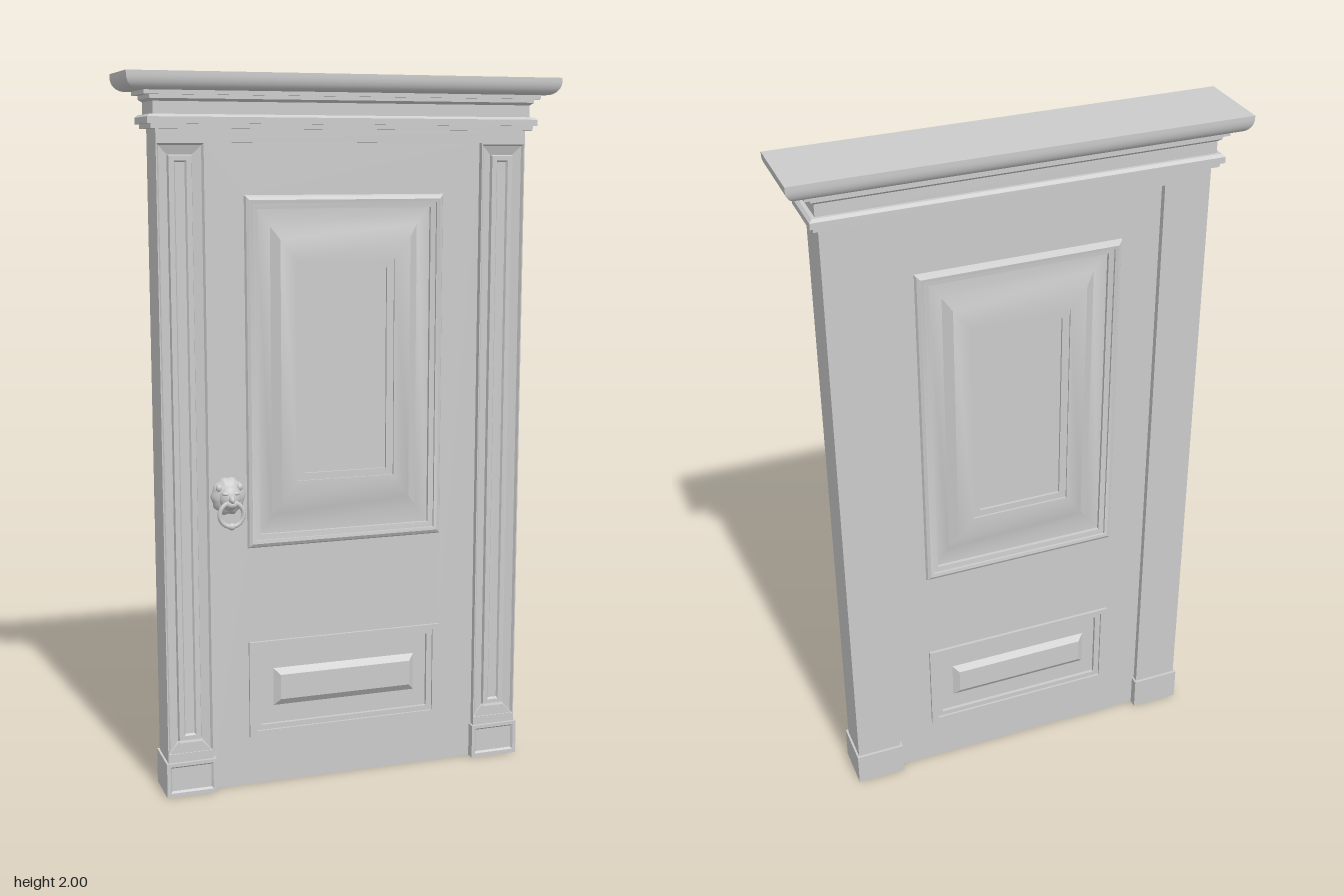
import * as THREE from 'three';
import { toCreasedNormals } from 'three/addons/utils/BufferGeometryUtils.js';

const material = new THREE.MeshStandardMaterial({ color: 0xcccccc });

function add(parent, name, geometry, x = 0, y = 0, z = 0) {
  const mesh = new THREE.Mesh(geometry, material);
  mesh.name = name;
  mesh.position.set(x, y, z);
  parent.add(mesh);
  return mesh;
}

// Joins rectangular rings [x0, x1, y0, y1, z] into one stepped or bevelled solid.
function loft(rings, backCap = true, crease = 0.1) {
  const loops = rings.map(([x0, x1, y0, y1, z]) => [
    [x0, y0, z], [x1, y0, z], [x1, y1, z], [x0, y1, z],
  ]);
  const out = [];
  const quad = (a, b, c, d) => out.push(...a, ...b, ...c, ...a, ...c, ...d);
  for (let i = 0; i + 1 < loops.length; i++) {
    for (let k = 0; k < 4; k++) {
      const n = (k + 1) % 4;
      quad(loops[i][k], loops[i][n], loops[i + 1][n], loops[i + 1][k]);
    }
  }
  quad(...loops[loops.length - 1]);
  if (backCap) quad(...[...loops[0]].reverse());
  const geometry = new THREE.BufferGeometry();
  geometry.setAttribute('position', new THREE.Float32BufferAttribute(out, 3));
  return toCreasedNormals(geometry, crease);
}

const DOOR_Z = 0.04; // half thickness of the door leaf
const JAMB_Z = 0.058; // half depth of the frame

// Panel profiles: [half width, bottom, top, height above the leaf]
const upperPanel = [
  [0.29, 0.70, 1.68, 0], [0.286, 0.704, 1.676, 0.008], [0.277, 0.713, 1.667, 0.013],
  [0.268, 0.722, 1.658, 0.011], [0.268, 0.722, 1.658, 0.004], [0.253, 0.737, 1.643, 0.002],
  [0.253, 0.737, 1.643, -0.008], [0.215, 0.79, 1.595, -0.008], [0.19, 0.82, 1.56, 0.008],
  [0.143, 0.885, 1.50, 0.008], [0.143, 0.885, 1.50, 0.003], [0.122, 0.905, 1.477, 0.003],
  [0.122, 0.905, 1.477, -0.004],
];
const lowerPanel = [
  [0.29, 0.143, 0.425, 0], [0.29, 0.143, 0.425, 0.008], [0.27, 0.16, 0.41, 0.008],
  [0.27, 0.16, 0.41, 0.002], [0.253, 0.175, 0.397, 0.002], [0.253, 0.175, 0.397, -0.008],
  [0.215, 0.227, 0.338, -0.008], [0.197, 0.247, 0.32, 0.006],
];

function buildDoor() {
  const door = new THREE.Group();
  door.name = 'door';
  const rectangle = (Type, w, y0, y1) => new Type([
    new THREE.Vector2(-w, y0), new THREE.Vector2(w, y0),
    new THREE.Vector2(w, y1), new THREE.Vector2(-w, y1),
  ]);
  const leaf = rectangle(THREE.Shape, 0.405, 0, 1.825);
  for (const [w, y0, y1] of [upperPanel[0], lowerPanel[0]]) {
    leaf.holes.push(rectangle(THREE.Path, w, y0, y1));
  }
  add(door, 'doorLeaf', new THREE.ExtrudeGeometry(leaf, { depth: DOOR_Z * 2, bevelEnabled: false }), 0, 0, -DOOR_Z);

  // Same panels on both faces
  for (const [name, profile] of [['upperPanel', upperPanel], ['lowerPanel', lowerPanel]]) {
    for (const side of ['Front', 'Back']) {
      const rings = profile.map(([w, y0, y1, h]) => [-w, w, y0, y1, DOOR_Z + h]);
      const panel = add(door, name + side, loft(rings, false, 0.5));
      if (side === 'Back') panel.rotation.y = Math.PI;
    }
  }
  return door;
}

function buildPilaster(side) {
  const pilaster = new THREE.Group();
  pilaster.name = side > 0 ? 'leftPilaster' : 'rightPilaster';
  // Shaft with a mitred sunk moulding and a narrow raised strip
  const shaft = [
    [0.066, 0.09, 1.825, -JAMB_Z], [0.066, 0.09, 1.825, JAMB_Z], [0.063, 0.125, 1.817, JAMB_Z],
    [0.058, 0.13, 1.812, 0.05], [0.034, 0.158, 1.788, 0.042], [0.031, 0.161, 1.785, 0.052],
    [0.017, 0.173, 1.772, 0.052], [0.013, 0.178, 1.768, 0.046],
  ].map(([w, y0, y1, z]) => [-w, w, y0, y1, z]);
  add(pilaster, 'shaft', loft(shaft));

  // Plinth with a sunk front field
  const plinth = [
    [0.072, 0, 0.1, -0.066], [0.072, 0, 0.1, 0.066],
    [0.062, 0.012, 0.09, 0.066], [0.057, 0.017, 0.085, 0.06],
  ].map(([w, y0, y1, z]) => [-w, w, y0, y1, z]);
  add(pilaster, 'plinth', loft(plinth));

  // Sloped shoulder over the plinth
  const shoulder = new THREE.Shape([
    new THREE.Vector2(-0.064, 0.1), new THREE.Vector2(0.064, 0.1), new THREE.Vector2(0.064, 0.122),
    new THREE.Vector2(0.031, 0.155), new THREE.Vector2(-0.031, 0.155), new THREE.Vector2(-0.064, 0.122),
  ]);
  add(pilaster, 'shoulder', new THREE.ExtrudeGeometry(shoulder, { depth: 0.015, bevelEnabled: false }), 0, 0, 0.042);
  pilaster.position.x = side * 0.466;
  return pilaster;
}

function buildEntablature() {
  // [half width, half depth, height], from the lintel up to the crown
  const profile = [
    [0.532, 0.058, 1.82], [0.532, 0.058, 1.855], [0.548, 0.074, 1.855], [0.548, 0.074, 1.868],
    [0.558, 0.084, 1.868], [0.558, 0.084, 1.885], [0.55, 0.076, 1.892], [0.54, 0.067, 1.892],
    [0.54, 0.067, 1.925], [0.55, 0.075, 1.932], [0.55, 0.075, 1.942], [0.566, 0.085, 1.942],
    [0.566, 0.085, 1.953], [0.583, 0.09, 1.953],
  ];
  // Rounded crown moulding
  for (let i = 1; i <= 8; i++) {
    const a = (i / 8) * Math.PI / 2;
    profile.push([0.583 + 0.034 * Math.sin(a), 0.09 + 0.025 * Math.sin(a), 1.99 - 0.037 * Math.cos(a)]);
  }
  profile.push([0.617, 0.115, 2]);
  const geometry = loft(profile.map(([w, d, y]) => [-w, w, -d, d, y]), true, 0.5);
  return geometry.rotateX(-Math.PI / 2);
}

function buildKnocker() {
  const knocker = new THREE.Group();
  knocker.name = 'doorKnocker';
  knocker.position.set(-0.345, 0.855, DOOR_Z);
  const ball = (name, x, y, z, rx, ry, rz) =>
    add(knocker, name, new THREE.SphereGeometry(1, 20, 14), x, y, z).scale.set(rx, ry, rz);

  // Scalloped mane behind a small animal mask
  const mane = new THREE.SphereGeometry(1, 48, 16);
  const p = mane.attributes.position;
  for (let i = 0; i < p.count; i++) {
    const f = 1 + 0.05 * Math.cos(10 * Math.atan2(p.getY(i), p.getX(i)));
    p.setXY(i, p.getX(i) * f, p.getY(i) * f);
  }
  mane.computeVertexNormals();
  add(knocker, 'mane', mane, 0, 0, 0).scale.set(0.048, 0.053, 0.033);
  ball('face', 0, -0.002, 0.018, 0.031, 0.037, 0.027);
  ball('muzzle', 0, -0.016, 0.036, 0.018, 0.014, 0.019);
  ball('nose', 0, -0.003, 0.042, 0.009, 0.012, 0.018);
  for (const s of [-1, 1]) {
    ball('brow', s * 0.014, 0.013, 0.034, 0.011, 0.006, 0.009);
    ball('ear', s * 0.029, 0.027, 0.018, 0.009, 0.011, 0.009);
  }
  add(knocker, 'ring', new THREE.TorusGeometry(0.034, 0.0065, 12, 40), 0, -0.045, 0.04);
  ball('ringBead', 0, -0.079, 0.04, 0.011, 0.01, 0.009);
  return knocker;
}

export function createModel() {
  const model = new THREE.Group();
  model.name = 'panelledDoor';
  model.add(buildDoor(), buildPilaster(1), buildPilaster(-1), buildKnocker());
  add(model, 'entablature', buildEntablature());
  return model;
}
